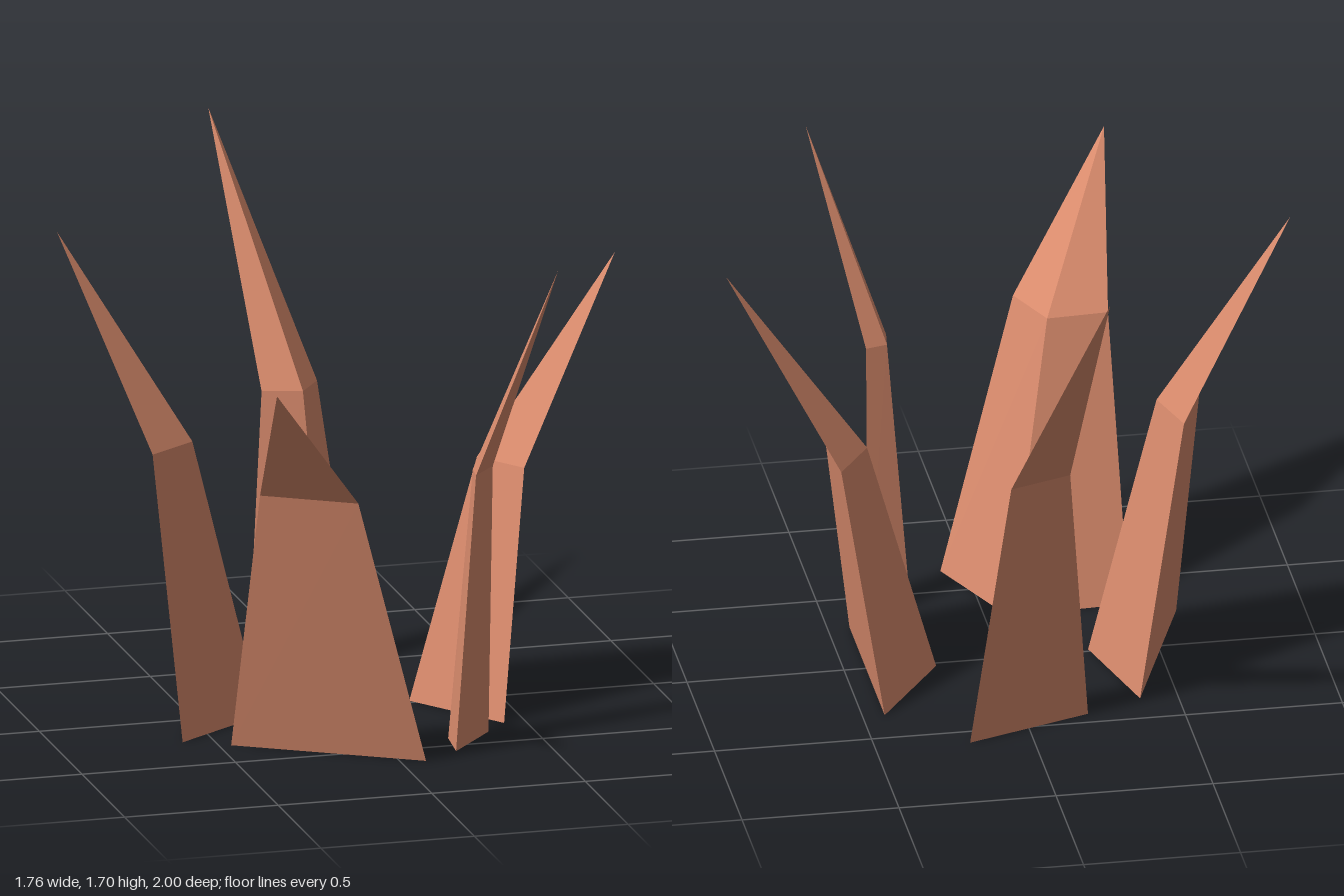
import * as THREE from 'three';

// Each claw: triangular foot on the ground, triangular bend ring, pointed tip.
// Corners run inner edge, then the two outer edges, as [x, z].
const CLAWS = [
  { name: 'leftClaw', bend: 0.78, foot: [[0.21, -0.02], [0.43, 0.3], [0.43, -0.34]],
    ring: [[0.43, -0.02], [0.54, 0.14], [0.54, -0.18]], tip: [0.88, 1.415, -0.02] },
  { name: 'rightClaw', bend: 0.89, foot: [[-0.28, 0.015], [-0.38, -0.36], [-0.6, 0.24]],
    ring: [[-0.485, -0.06], [-0.54, -0.245], [-0.645, 0.05]], tip: [-0.885, 1.565, -0.207] },
  { name: 'backClaw', bend: 0.89, foot: [[0.05, -0.373], [0.2, -0.58], [-0.2, -0.44]],
    ring: [[0, -0.51], [0.075, -0.615], [-0.125, -0.545]], tip: [-0.173, 1.695, -0.998] },
  { name: 'frontClaw', bend: 0.89, foot: [[-0.075, 0.29], [-0.462, 0.312], [0.08, 0.645]],
    ring: [[-0.247, 0.57], [-0.443, 0.582], [-0.17, 0.752]], tip: [-0.503, 1.335, 0.997] },
  { name: 'smallClaw', bend: 0.89, foot: [[0.215, 0.418], [0.2, 0.565], [0.357, 0.38]],
    ring: [[0.28, 0.473], [0.27, 0.547], [0.35, 0.455]], tip: [0.505, 1.58, 0.67] },
];

function clawGeometry({ foot, ring, bend, tip }) {
  const low = foot.map(([x, z]) => [x, 0, z]);
  const mid = ring.map(([x, z]) => [x, bend, z]);
  // Make the corners run counterclockwise seen from above
  const [a, b, c] = foot;
  const area = (b[0] - a[0]) * (c[1] - a[1]) - (b[1] - a[1]) * (c[0] - a[0]);
  if (area > 0) { low.reverse(); mid.reverse(); }

  const points = [low[2], low[1], low[0]]; // closed underside
  for (let i = 0; i < 3; i++) {
    const j = (i + 1) % 3;
    points.push(low[i], low[j], mid[j], low[i], mid[j], mid[i]); // lower side
    points.push(mid[i], mid[j], tip); // spike side
  }
  const geometry = new THREE.BufferGeometry();
  geometry.setAttribute('position', new THREE.Float32BufferAttribute(points.flat(), 3));
  geometry.computeVertexNormals();
  return geometry;
}

export function createModel() {
  const group = new THREE.Group();
  group.name = 'clawCluster';
  const terracotta = new THREE.MeshStandardMaterial({ color: 0xd88a6c });
  terracotta.name = 'terracotta';
  terracotta.flatShading = true;

  for (const claw of CLAWS) {
    const mesh = new THREE.Mesh(clawGeometry(claw), terracotta);
    mesh.name = claw.name;
    group.add(mesh);
  }
  return group;
}
